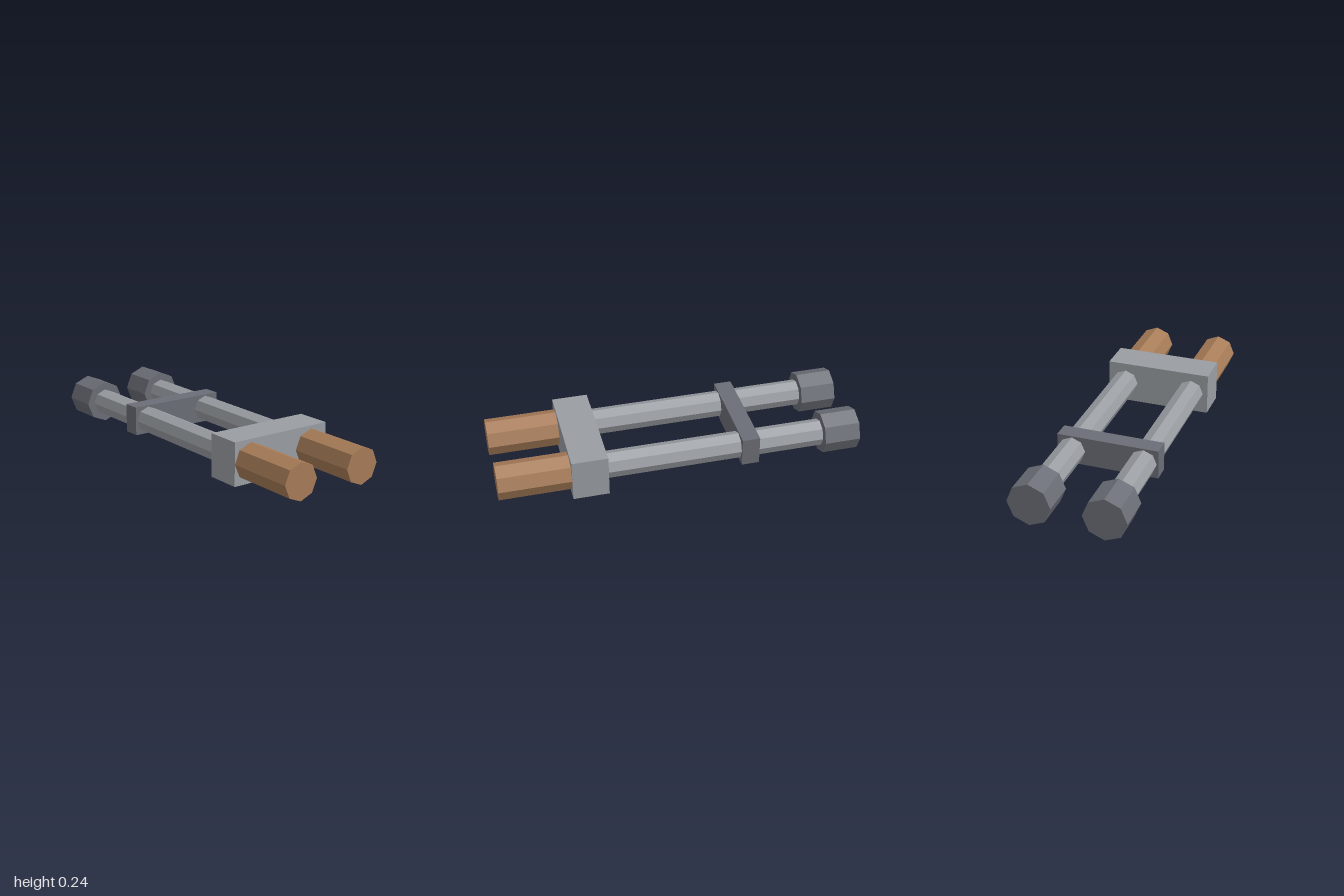
import * as THREE from 'three';

const AXIS_Y = 0.118; // height of the rod axes
const ROD_X = 0.2;    // sideways offset of each rod

const material = (color) => new THREE.MeshStandardMaterial({ color, flatShading: true });

export function createModel() {
  const model = new THREE.Group();
  const wood = material(0xa87c58);
  const lightMetal = material(0x9a9ea3);
  const darkMetal = material(0x6b6e76);

  const add = (name, geometry, mat, x, z) => {
    const mesh = new THREE.Mesh(geometry, mat);
    mesh.name = name;
    mesh.position.set(x, AXIS_Y, z);
    model.add(mesh);
  };

  // Octagonal prism along z, with a corner pointing up
  const prism = (name, radius, zBack, zFront, mat, x) => {
    const geometry = new THREE.CylinderGeometry(radius, radius, zFront - zBack, 8);
    geometry.rotateX(Math.PI / 2);
    add(name, geometry, mat, x, (zBack + zFront) / 2);
  };

  // Two mirrored rods, each with a wooden grip and a heavy end cap
  for (const [side, s] of [['left', 1], ['right', -1]]) {
    prism(side + 'Grip', 0.101, 0.6, 1, wood, s * ROD_X);
    prism(side + 'Rod', 0.074, -0.81, 0.42, lightMetal, s * ROD_X);
    prism(side + 'EndCap', 0.118, -1, -0.8, darkMetal, s * ROD_X);
  }

  // Block joining the rods to the grips
  add('mountingBlock', new THREE.BoxGeometry(0.604, 0.236, 0.197), lightMetal, 0, 0.511);
  // Thin brace between the rods
  add('crossBrace', new THREE.BoxGeometry(0.566, 0.162, 0.098), darkMetal, 0, -0.38);

  return model;
}
